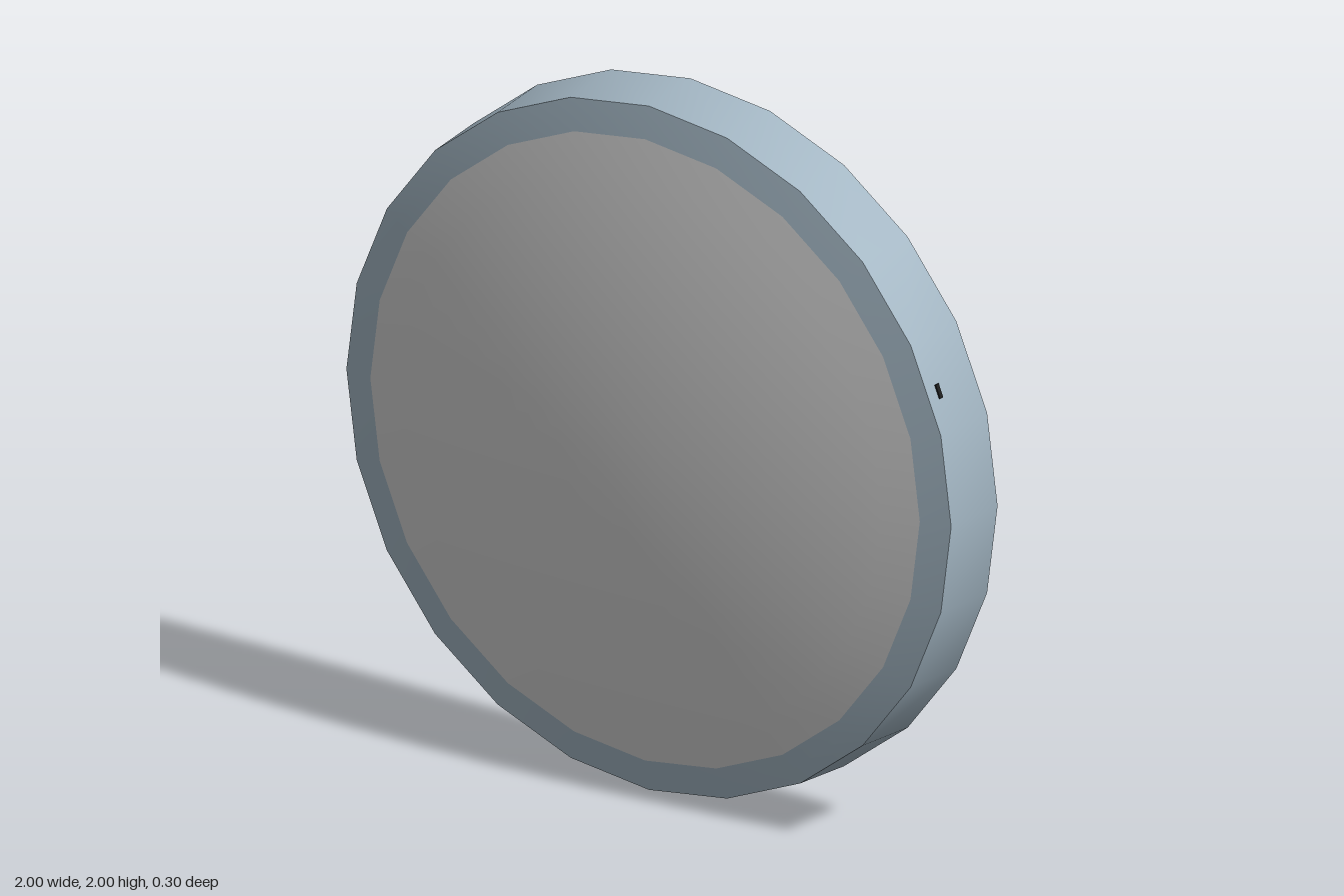
import * as THREE from 'three';
import { toCreasedNormals } from 'three/addons/utils/BufferGeometryUtils.js';

const SIDES = 24;
const EDGE_R = 0.985, EDGE_Z = 0.045, FACE_R = 0.895;
const BACK_Z = -0.15, PLATE_Z = -0.01, INNER_R = 0.96;

const material = (name, color, side = THREE.FrontSide) => {
  const m = new THREE.MeshStandardMaterial({ color, side });
  m.name = name;
  return m;
};

// Height of the shallow front dome at a given radius
const domeZ = (r) => EDGE_Z + 0.1 * (1 - (r / EDGE_R) ** 2);

// Revolve [radius, z] pairs around the z axis
function revolve(points) {
  const g = new THREE.LatheGeometry(points.map(([r, z]) => new THREE.Vector2(r, z)), SIDES);
  g.rotateX(Math.PI / 2);
  return toCreasedNormals(g, 0.6);
}

export function createModel() {
  const model = new THREE.Group();
  model.name = 'roundCap';
  const disc = new THREE.Group();
  disc.name = 'disc';
  disc.position.y = 1;
  model.add(disc);

  const blueGrey = material('blue grey rim', 0xa2b5c2);
  const paleGrey = material('pale grey face', 0xcfcfcf);
  const slate = material('slate lining', 0x5c6280);
  const black = material('black back', 0x1c1c1c, THREE.DoubleSide);

  const add = (name, geometry, mat, parent = disc) => {
    const mesh = new THREE.Mesh(geometry, mat);
    mesh.name = name;
    parent.add(mesh);
    return mesh;
  };

  // Rim: back lip, slightly tapered wall and front border
  add('rim', revolve([
    [INNER_R, BACK_Z], [1, BACK_Z], [EDGE_R, EDGE_Z],
    [0.94, domeZ(0.94)], [FACE_R, domeZ(FACE_R)],
  ]), blueGrey);

  // Domed front face
  const facePoints = [];
  for (let i = 0; i <= 8; i++) {
    const r = FACE_R * (1 - i / 8);
    facePoints.push([r, domeZ(r)]);
  }
  add('frontFace', revolve(facePoints), paleGrey);

  // Inner wall of the recessed back
  add('innerWall', revolve([[INNER_R, PLATE_Z], [INNER_R, BACK_Z]]), slate);

  // Back plate
  const plate = new THREE.CircleGeometry(INNER_R, SIDES, Math.PI / 2);
  plate.rotateY(Math.PI);
  add('backPlate', plate, black).position.z = PLATE_Z;

  // Raised hub
  const hub = new THREE.CylinderGeometry(0.45, 0.45, 0.12, 20);
  hub.rotateX(Math.PI / 2);
  add('hub', toCreasedNormals(hub, 0.6), black).position.z = PLATE_Z - 0.06;

  // Small pointer and button on the hub
  const pointer = new THREE.Shape([
    new THREE.Vector2(-0.018, -0.04), new THREE.Vector2(0.018, -0.04), new THREE.Vector2(0, 0.04),
  ]);
  add('hubPointer', new THREE.ExtrudeGeometry(pointer, { depth: 0.005, bevelEnabled: false }), black)
    .position.set(0, 0.35, -0.135);
  const button = new THREE.CylinderGeometry(0.04, 0.04, 0.005, 12);
  button.rotateX(Math.PI / 2);
  add('hubButton', button, black).position.set(-0.055, -0.29, -0.1325);

  // Tiny notches on opposite sides of the rim
  for (const angle of [0.375, 0.375 + Math.PI]) {
    const notch = add('rimNotch', new THREE.BoxGeometry(0.006, 0.04, 0.014), black);
    notch.position.set(0.981 * Math.cos(angle), 0.981 * Math.sin(angle), 0);
    notch.rotation.z = angle;
  }

  return model;
}
